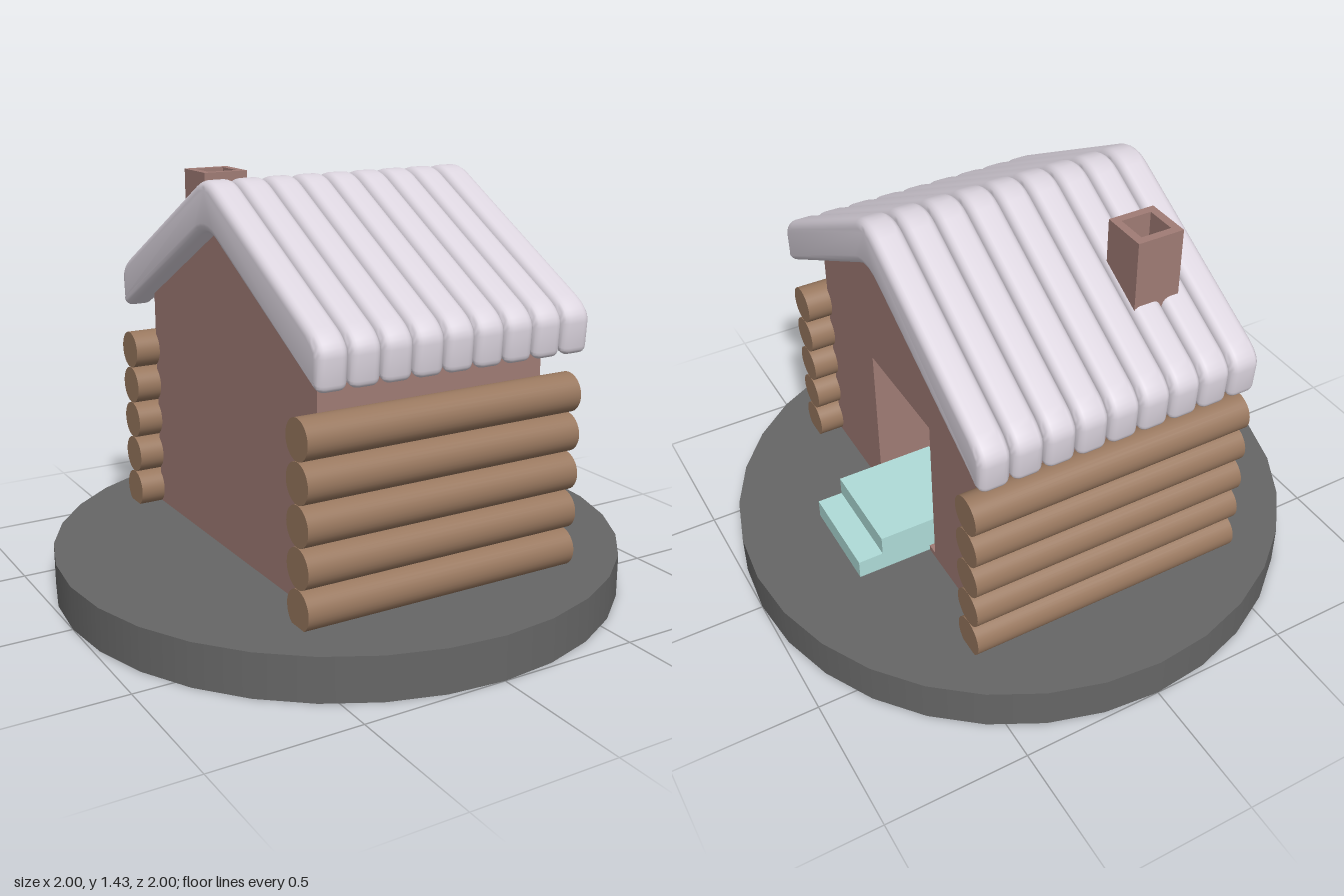
import * as THREE from 'three';
import { toCreasedNormals } from 'three/addons/utils/BufferGeometryUtils.js';

const mat = (color) => new THREE.MeshStandardMaterial({ color });
const wallMat = mat(0xa07c75), logMat = mat(0x99785f), roofMat = mat(0xdbd4de);
const stepMat = mat(0xafdcd8), baseMat = mat(0x666666);

function add(parent, name, geometry, material, x = 0, y = 0, z = 0) {
  const mesh = new THREE.Mesh(geometry, material);
  mesh.name = name;
  mesh.position.set(x, y, z);
  parent.add(mesh);
  return mesh;
}

// Extrudes a side profile (z, y) along +x
function extrudeX(shape, options) {
  return new THREE.ExtrudeGeometry(shape, { bevelEnabled: false, ...options }).rotateY(Math.PI / 2);
}

// Rectangle as a list of points, counter-clockwise
const rect = (x0, y0, x1, y1) => [[x0, y0], [x1, y0], [x1, y1], [x0, y1]].map((p) => new THREE.Vector2(...p));

function gableShape() {
  return new THREE.Shape([[-0.597, 0.14], [0.597, 0.14], [0.597, 0.96], [0, 1.285], [-0.597, 0.96]]
    .map((p) => new THREE.Vector2(...p)));
}

// Bent strip with a rounded ridge and rounded eaves
function roofShape() {
  const s = new THREE.Shape();
  s.moveTo(-0.69, 0.903);
  s.lineTo(-0.07, 1.2445);
  s.quadraticCurveTo(0, 1.283, 0.07, 1.2445);
  s.lineTo(0.69, 0.903);
  s.quadraticCurveTo(0.722, 0.888, 0.727, 0.92);
  s.lineTo(0.733, 1.0);
  s.quadraticCurveTo(0.735, 1.045, 0.67, 1.0815);
  s.lineTo(0.07, 1.4115);
  s.quadraticCurveTo(0, 1.45, -0.07, 1.4115);
  s.lineTo(-0.67, 1.0815);
  s.quadraticCurveTo(-0.735, 1.045, -0.733, 1.0);
  s.lineTo(-0.727, 0.92);
  s.quadraticCurveTo(-0.722, 0.888, -0.69, 0.903);
  return s;
}

export function createModel() {
  const model = new THREE.Group();
  model.name = 'logCabin';

  // Round base
  add(model, 'base', new THREE.CylinderGeometry(1, 1, 0.15, 32), baseMat, 0, 0.075, 0);

  // House body: solid rear part, and front part with the doorway cut through
  const walls = new THREE.Group();
  walls.name = 'walls';
  model.add(walls);
  add(walls, 'rearBody', extrudeX(gableShape(), { depth: 0.61 }), wallMat, -0.42);
  const front = gableShape();
  front.holes.push(new THREE.Path(rect(-0.217, 0.17, 0.217, 0.745)));
  add(walls, 'doorwayBody', extrudeX(front, { depth: 0.23 }), wallMat, 0.19);

  // Stacked logs on both long sides
  const logs = new THREE.Group();
  logs.name = 'logs';
  model.add(logs);
  const logGeo = new THREE.CylinderGeometry(0.067, 0.067, 1.02, 32).rotateZ(Math.PI / 2);
  for (const side of [-1, 1]) {
    for (let i = 0; i < 5; i++) add(logs, 'log', logGeo, logMat, 0, 0.205 + i * 0.135, side * 0.633);
  }

  // Roof of nine rounded strips
  const roof = new THREE.Group();
  roof.name = 'roof';
  model.add(roof);
  const bevel = 0.03, width = 0.108, pitch = 0.1115;
  const stripGeo = toCreasedNormals(extrudeX(roofShape(), {
    depth: width - 2 * bevel, curveSegments: 6, bevelEnabled: true,
    bevelThickness: bevel, bevelSize: bevel, bevelOffset: -bevel, bevelSegments: 5,
  }), 0.8);
  for (let i = 0; i < 9; i++) {
    add(roof, 'roofStrip', stripGeo, roofMat, 0.008 + (i - 4) * pitch - width / 2 + bevel);
  }

  // Hollow square chimney
  const chimney = new THREE.Group();
  chimney.name = 'chimney';
  chimney.position.set(-0.252, 0, -0.405);
  model.add(chimney);
  const tube = new THREE.Shape(rect(-0.082, -0.082, 0.082, 0.082));
  tube.holes.push(new THREE.Path(rect(-0.054, -0.054, 0.054, 0.054)));
  const tubeGeo = new THREE.ExtrudeGeometry(tube, { depth: 0.415, bevelEnabled: false }).rotateX(-Math.PI / 2);
  add(chimney, 'flue', tubeGeo, wallMat, 0, 1.0, 0);
  add(chimney, 'flueFloor', new THREE.BoxGeometry(0.11, 0.25, 0.11), wallMat, 0, 1.125, 0);

  // Two steps leading into the doorway
  const steps = new THREE.Shape([[0.24, 0.145], [0.69, 0.145], [0.69, 0.22], [0.6, 0.22], [0.6, 0.29], [0.24, 0.29]]
    .map((p) => new THREE.Vector2(...p)));
  add(model, 'steps', new THREE.ExtrudeGeometry(steps, { depth: 0.35, bevelEnabled: false }), stepMat, 0, 0, -0.175);

  return model;
}
